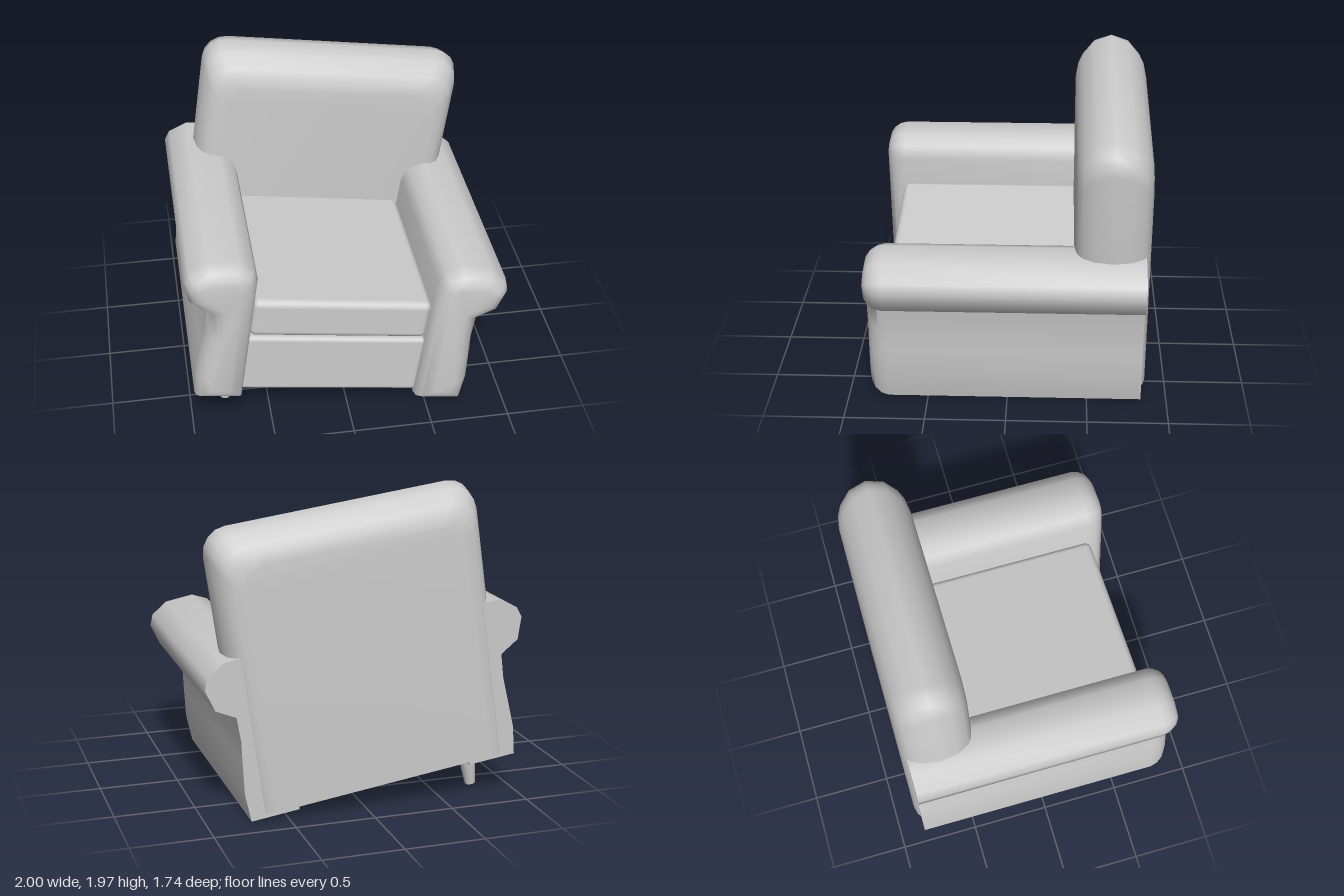
import * as THREE from 'three';
import { toCreasedNormals } from 'three/addons/utils/BufferGeometryUtils.js';
import { RoundedBoxGeometry } from 'three/addons/geometries/RoundedBoxGeometry.js';

const material = new THREE.MeshStandardMaterial({ color: 0xcccccc });

function addMesh(group, name, geometry, x = 0, y = 0, z = 0) {
  const mesh = new THREE.Mesh(geometry, material);
  mesh.name = name;
  mesh.position.set(x, y, z);
  group.add(mesh);
  return mesh;
}

// Skins a stack of counter-clockwise outlines, ordered from back to front, and caps both ends
function loft(sections) {
  const positions = [], index = [];
  const n = sections[0].points.length;
  for (const { z, points } of sections) for (const p of points) positions.push(p.x, p.y, z);
  for (let i = 0; i < sections.length - 1; i++) {
    for (let j = 0; j < n; j++) {
      const a = i * n + j, b = i * n + (j + 1) % n;
      index.push(a, b, b + n, a, b + n, a + n);
    }
  }
  const last = sections.length - 1;
  for (const [a, b, c] of THREE.ShapeUtils.triangulateShape(sections[0].points, [])) index.push(c, b, a);
  for (const [a, b, c] of THREE.ShapeUtils.triangulateShape(sections[last].points, []))
    index.push(last * n + a, last * n + b, last * n + c);
  const geometry = new THREE.BufferGeometry();
  geometry.setAttribute('position', new THREE.Float32BufferAttribute(positions, 3));
  geometry.setIndex(index);
  return toCreasedNormals(geometry, 0.95);
}

// Moves every edge of a counter-clockwise outline inwards by d
function inset(points, d) {
  const n = points.length;
  const inward = (a, b) => new THREE.Vector2(a.y - b.y, b.x - a.x).normalize();
  return points.map((p, i) => {
    const n1 = inward(points[(i + n - 1) % n], p);
    const n2 = inward(p, points[(i + 1) % n]);
    return p.clone().addScaledVector(n1.clone().add(n2), d / (1 + n1.dot(n2)));
  });
}

// Rolled arm: one profile swept along z with a softened front end
function armGeometry(side) {
  let outline = [
    [0.56, 0], [0.864, 0], [0.878, 0.18], [0.862, 0.36], [0.848, 0.51], [0.852, 0.665],
    [0.97, 0.736], [1.011, 0.873], [0.986, 0.94], [0.875, 1.012], [0.69, 1.022],
    [0.595, 0.975], [0.562, 0.89],
  ].map(([x, y]) => new THREE.Vector2(x * side, y));
  if (side < 0) outline = outline.reverse();
  const steps = [[-0.84, 0], [0.75, 0], [0.795, 0.01], [0.835, 0.035], [0.86, 0.07], [0.868, 0.1]];
  return loft(steps.map(([z, d]) => ({ z, points: inset(outline, d) })));
}

// Outline of the backrest: straight sides and rounded top corners
function backOutline(halfWidth, top, radius) {
  const points = [new THREE.Vector2(-halfWidth, 0.03), new THREE.Vector2(halfWidth, 0.03)];
  for (const side of [1, -1]) {
    for (let i = 0; i <= 4; i++) {
      const a = (side > 0 ? i : i + 4) * Math.PI / 8;
      points.push(new THREE.Vector2(
        side * (halfWidth - radius) + radius * Math.cos(a),
        top - radius + radius * Math.sin(a)));
    }
  }
  return points;
}

// Backrest: the outline shrinks towards both faces, most of all along the top
function backGeometry() {
  const steps = [
    [-0.23, 0.15, 0.22], [-0.215, 0.095, 0.16], [-0.185, 0.055, 0.11], [-0.11, 0.016, 0.032], [0, 0, 0],
    [0.11, 0.016, 0.032], [0.185, 0.055, 0.11], [0.215, 0.095, 0.16], [0.23, 0.15, 0.22],
  ];
  return loft(steps.map(([z, side, top]) => ({
    z: z - 0.64, points: backOutline(0.847 - side, 1.763 - top, 0.15),
  })));
}

export function createModel() {
  const model = new THREE.Group();
  model.name = 'armchair';

  // The chair leans over onto the side that has no legs
  const chair = new THREE.Group();
  chair.name = 'tiltedChair';
  chair.rotation.z = -0.1435;
  chair.position.set(-0.125, 0.125, 0);
  model.add(chair);

  addMesh(chair, 'leftArm', armGeometry(1));
  addMesh(chair, 'rightArm', armGeometry(-1));
  addMesh(chair, 'backrest', backGeometry());

  // Seat base and loose cushion
  addMesh(chair, 'seatBase', new RoundedBoxGeometry(1.15, 0.418, 1.59, 3, 0.03), 0, 0.221, -0.05);
  addMesh(chair, 'seatCushion', new RoundedBoxGeometry(1.13, 0.27, 1.3, 4, 0.045), 0, 0.58, 0.105);

  // Two tapered legs under the right arm
  const legGeometry = new THREE.CylinderGeometry(0.06, 0.033, 0.235, 16);
  for (const [name, z] of [['frontLeg', 0.54], ['backLeg', -0.63]])
    addMesh(chair, name, legGeometry, -0.627, -0.0975, z);

  return model;
}
